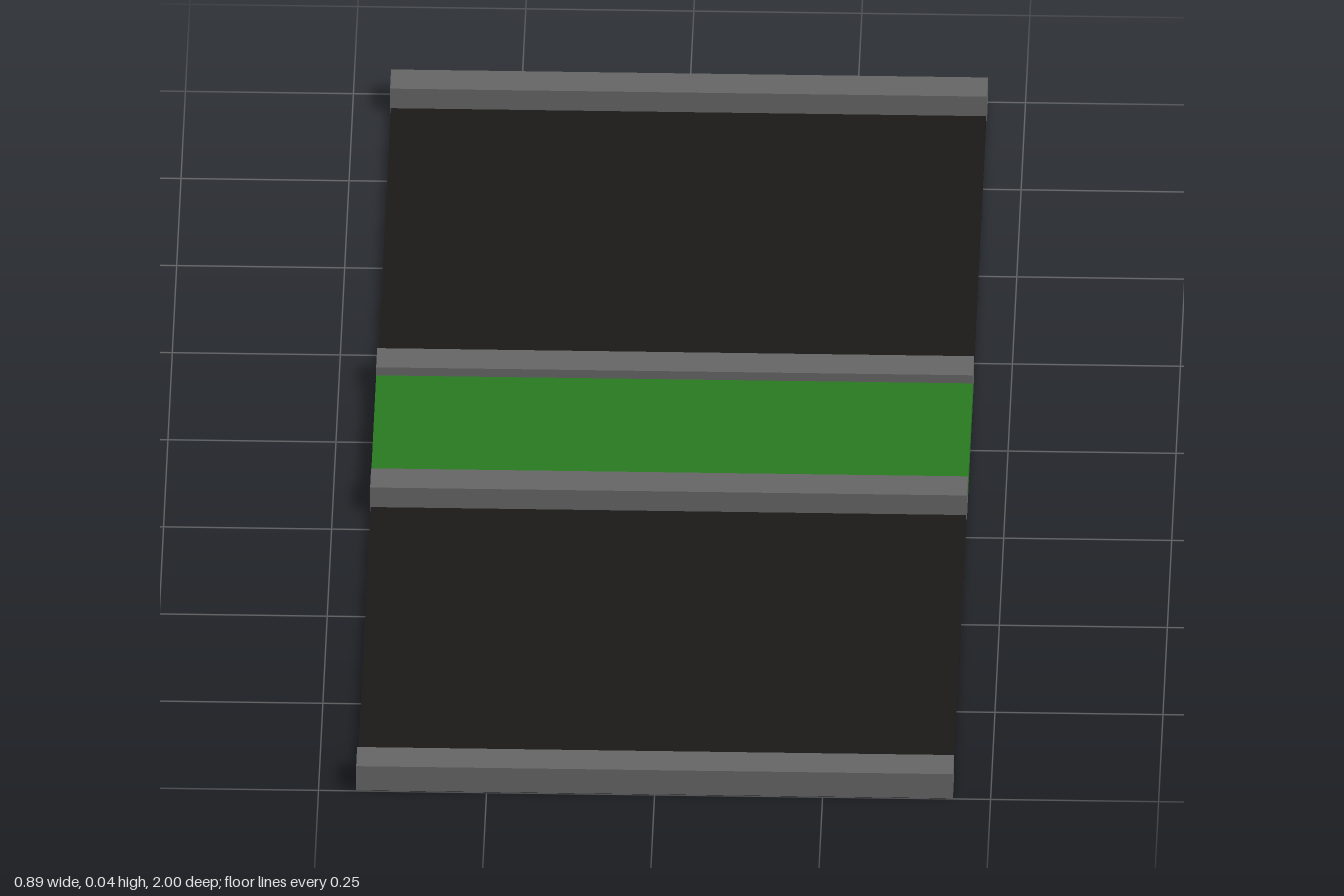
import * as THREE from 'three';

const WIDTH = 0.888;

export function createModel() {
  const model = new THREE.Group();
  const asphalt = new THREE.MeshStandardMaterial({ color: 0x1b1a18 });
  const concrete = new THREE.MeshStandardMaterial({ color: 0x666666 });
  const grass = new THREE.MeshStandardMaterial({ color: 0x287a20 });

  // Box spanning the given heights and depths
  const slab = (name, material, width, y0, y1, z0, z1) => {
    const mesh = new THREE.Mesh(new THREE.BoxGeometry(width, y1 - y0, z1 - z0), material);
    mesh.position.set(0, (y0 + y1) / 2, (z0 + z1) / 2);
    mesh.name = name;
    model.add(mesh);
  };

  // Road bed under everything, inset a hair inside the kerbs
  slab('roadBed', asphalt, WIDTH - 0.002, 0, 0.009, -0.999, 0.999);

  // Raised grass strip between the carriageways
  slab('grassMedian', grass, WIDTH, 0.001, 0.029, -0.146, 0.146);

  // Kerbs along the outer edges and the median
  for (const [name, z] of [['outerKerb', 0.9725], ['medianKerb', 0.1725]]) {
    for (const side of [1, -1]) {
      const c = z * side;
      slab(name + (side > 0 ? 'Front' : 'Back'), concrete, WIDTH, 0.001, 0.043, c - 0.0275, c + 0.0275);
    }
  }
  return model;
}
